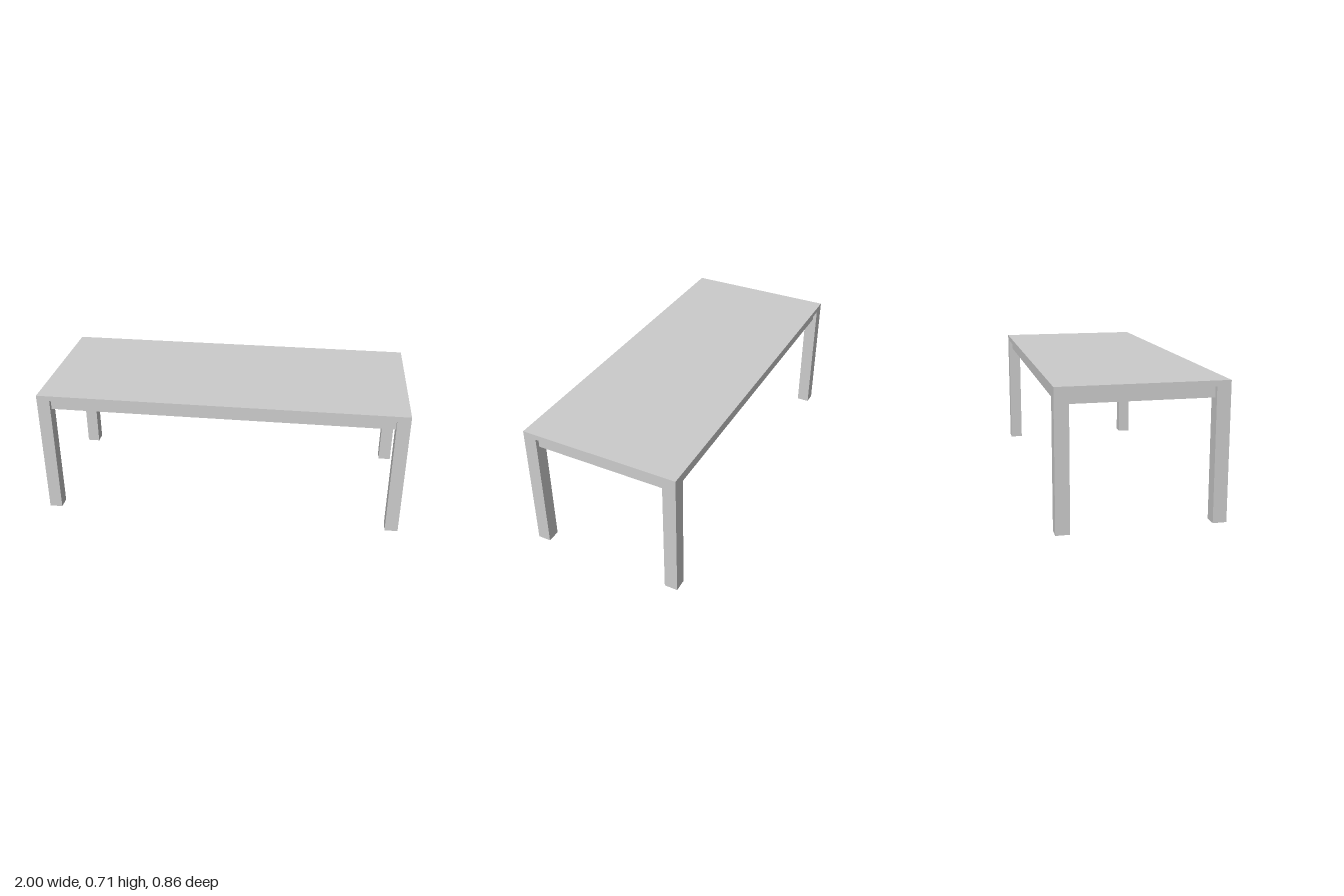
import * as THREE from 'three';

const LENGTH = 2, DEPTH = 0.857, HEIGHT = 0.715;
const TOP = 0.0286;             // tabletop thickness
const LEG = 0.0714;             // square leg width
const APRON_H = 0.0575, APRON_T = 0.0286;

export function createModel() {
  const table = new THREE.Group();
  table.name = 'table';
  const material = new THREE.MeshStandardMaterial({ color: 0xcccccc });

  const addBox = (name, w, h, d, x, y, z) => {
    const mesh = new THREE.Mesh(new THREE.BoxGeometry(w, h, d), material);
    mesh.name = name;
    mesh.position.set(x, y, z);
    table.add(mesh);
  };

  // Tabletop, flush with the outer faces of the legs
  addBox('tabletop', LENGTH, TOP, DEPTH, 0, HEIGHT - TOP / 2, 0);

  const legHeight = HEIGHT - TOP;
  const legX = (LENGTH - LEG) / 2, legZ = (DEPTH - LEG) / 2;
  const apronY = legHeight - APRON_H / 2;

  // Corner legs
  for (const [side, sx] of [['Left', 1], ['Right', -1]])
    for (const [end, sz] of [['front', 1], ['back', -1]])
      addBox(`${end}${side}Leg`, LEG, legHeight, LEG, sx * legX, legHeight / 2, sz * legZ);

  // Apron rails, centred on the legs
  for (const [end, s] of [['front', 1], ['back', -1]])
    addBox(`${end}Apron`, LENGTH - 2 * LEG, APRON_H, APRON_T, 0, apronY, s * legZ);
  for (const [side, s] of [['left', 1], ['right', -1]])
    addBox(`${side}Apron`, APRON_T, APRON_H, DEPTH - 2 * LEG, s * legX, apronY, 0);

  return table;
}
